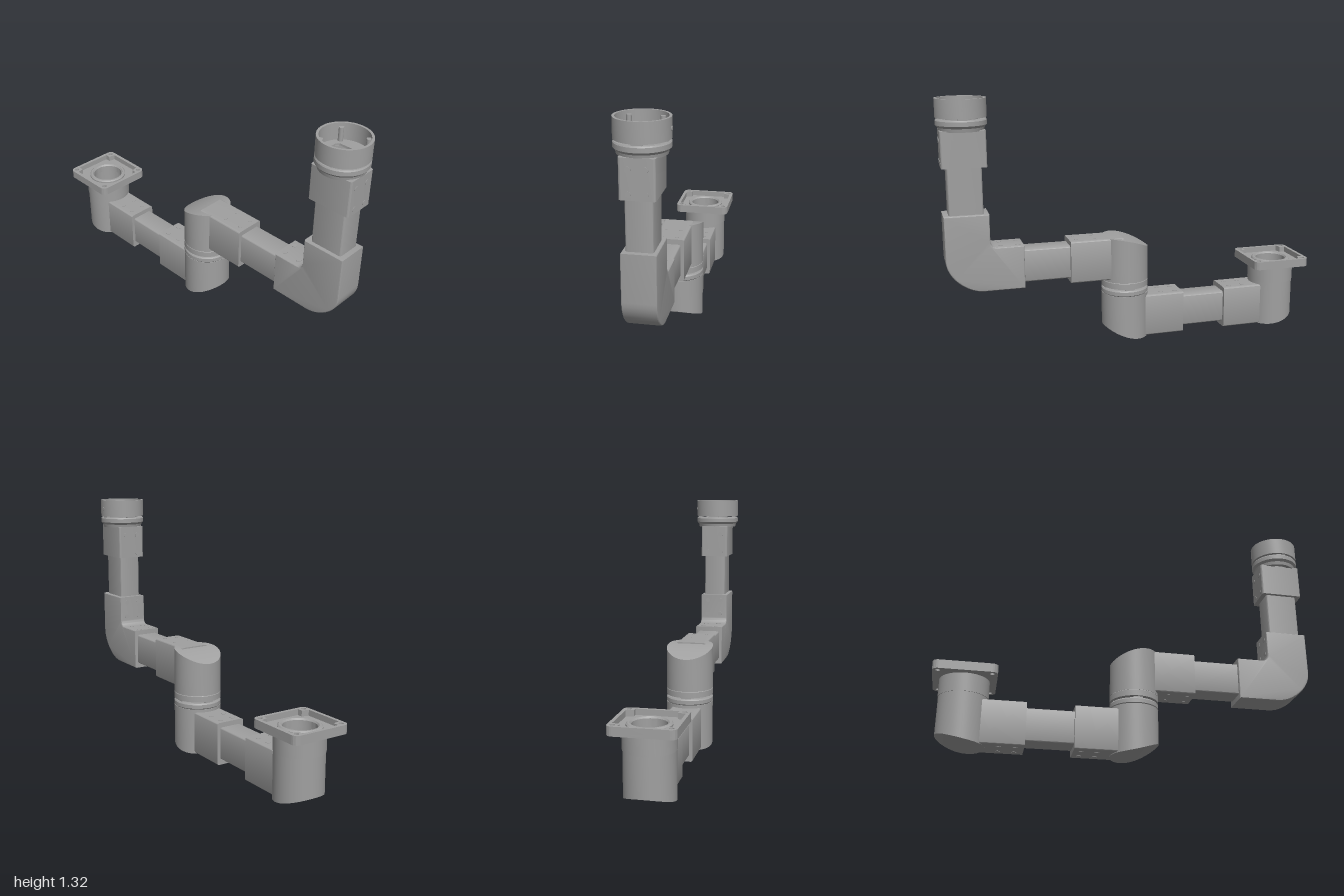
import * as THREE from 'three';
import { toCreasedNormals } from 'three/addons/utils/BufferGeometryUtils.js';

const R = 0.126;       // joint radius
const HUB_Z = 0.032;   // middle swivel
const CUP_Z = 0.873;   // upright arm
const BASE_Z = -0.839; // mounting flange

export function createModel() {
  const model = new THREE.Group();
  const grey = new THREE.MeshStandardMaterial({ color: 0xa0a0a0 });
  grey.name = 'plain grey';

  const add = (name, geometry, x = 0, y = 0, z = 0, parent = model) => {
    const mesh = new THREE.Mesh(geometry, grey);
    mesh.name = name;
    mesh.position.set(x, y, z);
    parent.add(mesh);
    return mesh;
  };
  const lathe = (points) => toCreasedNormals(
    new THREE.LatheGeometry(points.map(([r, y]) => new THREE.Vector2(r, y)), 56), 0.5);
  const extrude = (shape, depth, bevel = 0) => toCreasedNormals(new THREE.ExtrudeGeometry(shape, {
    depth, curveSegments: 12, bevelEnabled: bevel > 0, bevelSize: bevel,
    bevelThickness: bevel, bevelOffset: -bevel, bevelSegments: 3 }), 0.5);

  // Rounded rectangle from half sizes
  const roundRect = (w, h, r, PathType = THREE.Shape) => {
    const p = new PathType();
    p.absarc(w - r, h - r, r, 0, Math.PI / 2);
    p.absarc(-w + r, h - r, r, Math.PI / 2, Math.PI);
    p.absarc(-w + r, -h + r, r, Math.PI, Math.PI * 1.5);
    p.absarc(w - r, -h + r, r, Math.PI * 1.5, Math.PI * 2);
    p.closePath();
    return p;
  };
  const circle = (x, y, r) => new THREE.Path().absarc(x, y, r, 0, Math.PI * 2, true);

  // Hollow rectangular arm section, along z or upright
  const section = (name, w, h, from, to, at, upright = false) => {
    const shape = roundRect(w, h, 0.012);
    shape.holes.push(roundRect(0.05, 0.07, 0.012, THREE.Path));
    const g = extrude(shape, to - from);
    if (upright) g.rotateX(-Math.PI / 2);
    return upright ? add(name, g, 0, from, at) : add(name, g, 0, at, from);
  };

  // Four screw heads on a face; dir is the face's outward axis
  const screws = (level, alongs, dir, r = 0.013) => {
    for (const x of [-0.038, 0.038]) for (const a of alongs) {
      const g = new THREE.CylinderGeometry(r, r, 0.004, 16);
      if (dir === 'z') add('screw', g.rotateX(Math.PI / 2), x, a, level);
      else add('screw', g, x, level, a);
    }
  };

  // Round housing whose closed end slopes away towards -z
  const housing = (name, height, slope) => {
    const points = [[0, 0], [R, 0], [R, height]];
    for (let i = 7; i >= 0; i--) points.push([R * i / 8, height]);
    const g = new THREE.LatheGeometry(points.map(([r, y]) => new THREE.Vector2(r, y)), 56);
    const p = g.attributes.position;
    for (let i = 0; i < p.count; i++) {
      if (p.getY(i) < height - 1e-5) continue;
      const d = Math.max(0, 0.1 - p.getZ(i)) / 0.226;
      p.setY(i, height - slope * d * d);
    }
    return add(name, toCreasedNormals(g, 0.5));
  };

  // Narrow gap between swivelling parts, bridged by tabs
  const tabs = (y, z) => {
    for (let i = 0; i < 4; i++) {
      const a = i * Math.PI / 2;
      const tab = add('swivel tab', new THREE.BoxGeometry(0.05, 0.014, 0.02),
        0.105 * Math.sin(a), y, z + 0.105 * Math.cos(a));
      tab.rotation.y = a;
    }
  };

  // Lower arm
  section('lower arm tube', 0.063, 0.087, -0.54, -0.26, 0.121);
  section('lower arm rear sleeve', 0.081, 0.115, -0.77, -0.525, 0.119);
  section('lower arm front sleeve', 0.081, 0.115, -0.283, -0.03, 0.119);
  for (const y of [0.234, 0.004]) {
    screws(y, [-0.57, -0.65], 'y');
    screws(y, [-0.165, -0.245], 'y');
  }

  // Middle swivel: two housings and their collars
  const upper = housing('upper swivel housing', 0.24, 0.065);
  upper.position.set(0, 0.325, HUB_Z);
  const lower = housing('lower swivel housing', 0.25, 0.07);
  lower.rotation.x = Math.PI;
  lower.position.set(0, 0.25, HUB_Z);
  add('lower swivel collar', lathe([[0, 0.25], [0.123, 0.25], [0.127, 0.255], [0.127, 0.275],
    [0.122, 0.282], [0, 0.282]]), 0, 0, HUB_Z);
  add('upper swivel collar', lathe([[0, 0.291], [0.127, 0.291], [0.127, 0.322], [0.124, 0.326], [0, 0.326]]),
    0, 0, HUB_Z);
  tabs(0.2865, HUB_Z);

  // Upper arm
  section('upper arm tube', 0.063, 0.087, 0.32, 0.61, 0.451);
  section('upper arm sleeve', 0.081, 0.113, 0.06, 0.345, 0.452);
  for (const y of [0.565, 0.339]) screws(y, [0.21, 0.31], 'y', 0.009);

  // Elbow, drawn in side profile
  const e = new THREE.Shape();
  e.moveTo(0.588, 0.337);
  e.lineTo(0.80, 0.337);
  e.bezierCurveTo(0.885, 0.337, 0.987, 0.42, 0.987, 0.51);
  e.lineTo(0.987, 0.74);
  e.lineTo(0.76, 0.74);
  e.lineTo(0.76, 0.60);
  e.quadraticCurveTo(0.76, 0.565, 0.725, 0.565);
  e.lineTo(0.588, 0.565);
  e.closePath();
  const elbow = extrude(e, 0.146, 0.008);
  elbow.translate(0, 0, -0.073).rotateY(-Math.PI / 2);
  add('elbow', elbow);
  screws(0.565, [0.615, 0.705], 'y');
  screws(0.76, [0.62, 0.705], 'z');

  // Upright arm
  section('upright tube', 0.063, 0.087, 0.72, 1.0, CUP_Z, true);
  section('upright sleeve', 0.081, 0.113, 0.98, 1.165, CUP_Z, true);
  for (const z of [CUP_Z + 0.113, CUP_Z - 0.113]) screws(z, [1.007, 1.115], 'z');

  // Collar and open cup on top
  add('cup collar', lathe([[0.09, 1.16], [0.112, 1.16], [0.116, 1.178], [0.127, 1.19], [0.127, 1.212],
    [0.123, 1.218], [0.09, 1.218], [0.09, 1.16]]), 0, 0, CUP_Z);
  tabs(1.222, CUP_Z);
  add('cup wall', lathe([[0.1, 1.226], [0.127, 1.226], [0.127, 1.321], [0.115, 1.321], [0.115, 1.236],
    [0.1, 1.236], [0.1, 1.226]]), 0, 0, CUP_Z);
  const floor = new THREE.Shape().absarc(0, 0, 0.112, 0, Math.PI * 2);
  floor.holes.push(roundRect(0.052, 0.072, 0.02, THREE.Path));
  add('cup floor', extrude(floor, 0.01).rotateX(-Math.PI / 2), 0, 1.226, CUP_Z);
  for (let i = 0; i < 4; i++) {
    const a = (i + 0.5) * Math.PI / 2;
    add('cup post', new THREE.CylinderGeometry(0.012, 0.012, 0.07, 14),
      0.106 * Math.sin(a), 1.27, CUP_Z + 0.106 * Math.cos(a));
  }
  add('cup side screw', new THREE.CylinderGeometry(0.011, 0.011, 0.006, 16).rotateZ(Math.PI / 2),
    0.126, 1.27, CUP_Z);

  // Base housing and open neck
  const base = housing('base housing', 0.252, 0.05);
  base.rotation.z = Math.PI;
  base.position.set(0, 0.255, BASE_Z);
  base.scale.set(0.98, 1, 0.98);
  add('base neck', lathe([[0.09, 0.25], [0.126, 0.25], [0.126, 0.35], [0.09, 0.35], [0.09, 0.25]]), 0, 0, BASE_Z);
  add('inner ring', lathe([[0.083, 0.33], [0.107, 0.33], [0.107, 0.368], [0.1, 0.374], [0.09, 0.374],
    [0.083, 0.366], [0.083, 0.33]]), 0, 0, BASE_Z);

  // Square flange: raised rim over a plate, with four bolt holes
  const flange = (hole) => {
    const s = roundRect(0.16, 0.16, 0.03);
    s.holes.push(hole);
    for (const x of [-0.132, 0.132]) for (const y of [-0.132, 0.132]) s.holes.push(circle(x, y, 0.012));
    return s;
  };
  const recess = new THREE.Path();
  const a = 0.142, b = 0.105;
  recess.setFromPoints([[a, -b], [a, b], [b, b + 0.008], [b, a], [-b, a], [-b, b + 0.008], [-a, b], [-a, -b],
    [-b, -b - 0.008], [-b, -a], [b, -a], [b, -b - 0.008]].map(([x, y]) => new THREE.Vector2(x, y)));
  recess.closePath();
  add('flange plate', extrude(flange(circle(0, 0, 0.1)), 0.015).rotateX(-Math.PI / 2), 0, 0.345, BASE_Z);
  add('flange rim', extrude(flange(recess), 0.03).rotateX(-Math.PI / 2), 0, 0.36, BASE_Z);

  return model;
}
